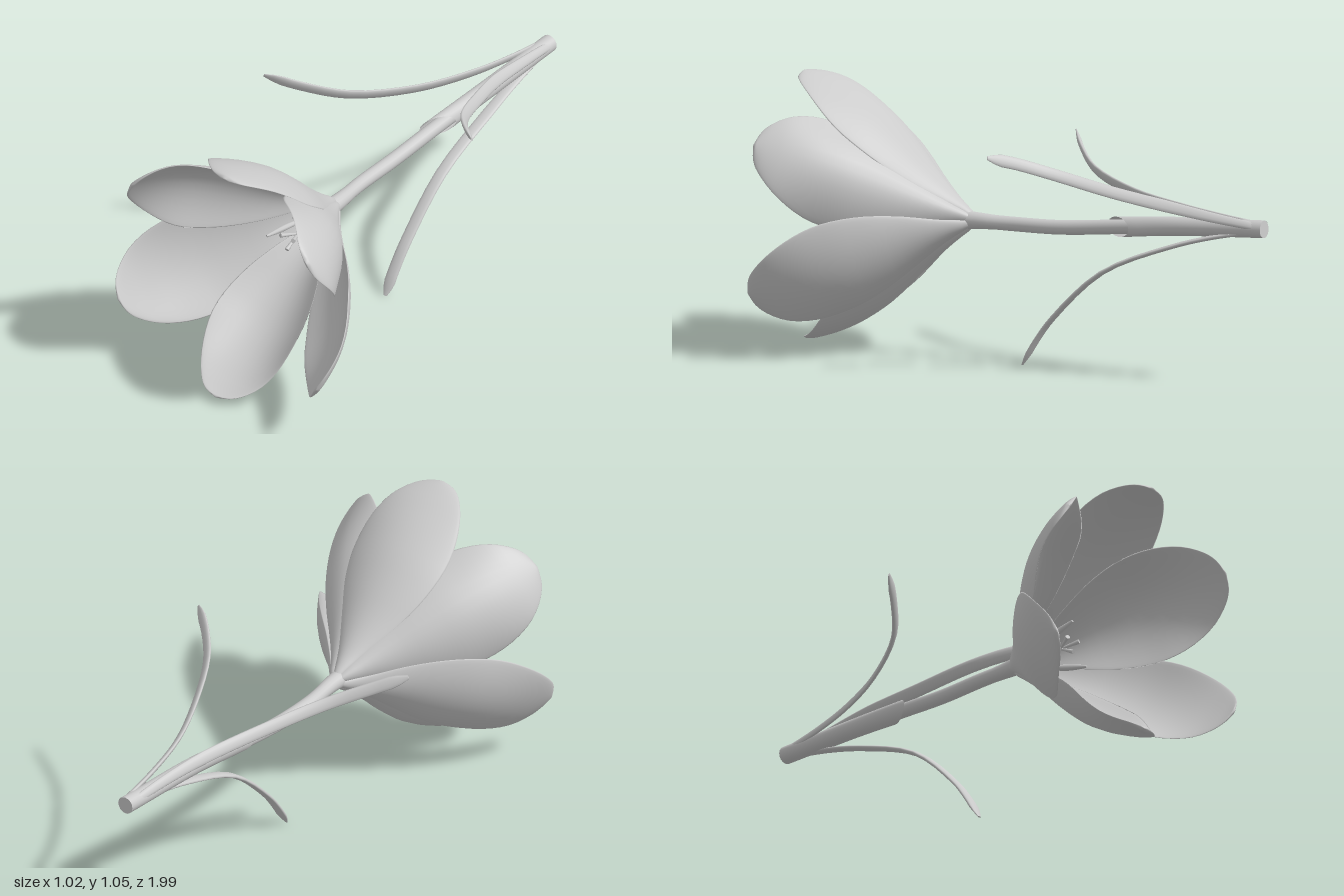
import * as THREE from 'three';

const material = new THREE.MeshStandardMaterial({ color: 0xcccccc, side: THREE.DoubleSide });
const V = (x, y, z) => new THREE.Vector3(x, y, z);
const curve = (pts) => new THREE.CatmullRomCurve3(pts.map((p) => V(...p)));

// Skin a series of closed rings, with flat caps on both ends
function loft(rings) {
  const collapse = (ring) => {
    const c = ring.reduce((sum, p) => sum.add(p), V(0, 0, 0)).divideScalar(ring.length);
    return ring.map(() => c);
  };
  const first = rings[0], last = rings[rings.length - 1];
  const all = [collapse(first), first, ...rings, last, collapse(last)];
  const n = first.length, index = [];
  for (let i = 0; i < all.length - 1; i++) {
    for (let k = 0; k < n; k++) {
      const a = i * n + k, b = i * n + (k + 1) % n;
      index.push(a, b, b + n, a, b + n, a + n);
    }
  }
  const geometry = new THREE.BufferGeometry().setFromPoints(all.flat());
  geometry.setIndex(index);
  geometry.computeVertexNormals();
  return geometry;
}

// Sweep an ellipse along a path; width(t) and depth(t) are half sizes
function sweep(points, side, width, depth, rows = 24, sides = 12) {
  const path = curve(points), rings = [];
  for (let i = 0; i <= rows; i++) {
    const t = i / rows, p = path.getPoint(t), dir = path.getTangent(t);
    const across = V(...side).addScaledVector(dir, -dir.dot(V(...side))).normalize();
    const up = dir.clone().cross(across);
    rings.push(Array.from({ length: sides }, (_, k) => {
      const a = (k / sides) * Math.PI * 2;
      return p.clone().addScaledVector(across, Math.cos(a) * width(t)).addScaledVector(up, Math.sin(a) * depth(t));
    }));
  }
  return loft(rings);
}

// Petal profile: distance from the axis, half width, z
const petalProfile = curve([
  [0.02, 0.012, 0.27], [0.09, 0.055, 0.36], [0.18, 0.12, 0.46], [0.28, 0.178, 0.56], [0.37, 0.207, 0.66],
  [0.437, 0.202, 0.76], [0.485, 0.165, 0.86], [0.51, 0.108, 0.935], [0.518, 0.062, 0.97], [0.52, 0.004, 0.988],
]);

// Thin shell leaning outwards at the given angle, cupped in the middle and flatter at the tip
function petal(degrees, cup, scale, broad) {
  const angle = THREE.MathUtils.degToRad(degrees), rows = 28, sides = 32, rings = [];
  const cos = Math.cos(angle), sin = Math.sin(angle);
  for (let i = 0; i <= rows; i++) {
    const { x: r, y: w, z } = petalProfile.getPoint(i / rows);
    const bend = cup * w * (1 - 0.75 * THREE.MathUtils.smoothstep(z, 0.66, 0.96));
    rings.push(Array.from({ length: sides }, (_, k) => {
      const a = (k / sides) * Math.PI * 2, s = Math.cos(a);
      const out = -Math.sin(a) * Math.min(0.009, w * 0.4) - bend * s * s;
      const radial = (r + out * 0.84) * scale, tangent = w * s * broad;
      return V(0.01 + radial * cos - tangent * sin, 0.53 + radial * sin + tangent * cos, z - out * 0.54);
    }));
  }
  return loft(rings);
}

export function createModel() {
  const group = new THREE.Group();
  const add = (name, geometry) => {
    const mesh = new THREE.Mesh(geometry, material);
    mesh.name = name;
    group.add(mesh);
  };

  // Three outer and three inner petals: angle, scale, breadth
  [[87, 1, 1], [207, 1.04, 1], [330, 1.03, 1]].forEach(([a, s, b], i) => add(`outerPetal${i + 1}`, petal(a, 0.28, s, b)));
  [[35, 0.98, 1], [144, 0.99, 1.03], [268, 0.96, 0.92]].forEach(([a, s, b], i) => add(`innerPetal${i + 1}`, petal(a, 0.52, s, b)));

  // Stem, flaring slightly under the flower
  const stemPath = [[0.057, 0.598, -1], [0.04, 0.577, -0.6], [0.02, 0.553, -0.35], [0.005, 0.53, -0.1],
    [0.0, 0.527, 0.1], [0.01, 0.53, 0.24], [0.01, 0.53, 0.33]];
  const stemRadius = (t) => 0.028 + 0.006 * Math.max(0, 1 - 4 * t) + 0.01 * Math.max(0, t - 0.75) * 4;
  add('stem', sweep(stemPath, [1, 0, 0], stemRadius, stemRadius, 32, 16));

  // Sheath wrapped closely round the stem, cut at a slant
  const sheath = new THREE.CylinderGeometry(0.038, 0.034, 1, 20, 10, true).rotateX(Math.PI / 2);
  const axis = curve(stemPath.slice(0, 4));
  const pos = sheath.attributes.position;
  for (let i = 0; i < pos.count; i++) {
    const x = pos.getX(i), y = pos.getY(i), along = pos.getZ(i) + 0.5;
    const c = axis.getPoint(along * 0.66);
    pos.setXYZ(i, c.x + x, c.y + y, c.z - x * 1.7 * along);
  }
  sheath.computeVertexNormals();
  add('sheath', sheath);

  // Long arching leaves with blunt tips
  const taper = (t) => (0.016 + 0.009 * Math.min(1, t * 3)) * Math.min(1, 0.3 + (1 - t) * 11);
  const thin = (t) => 0.009 * Math.min(1, 0.3 + (1 - t) * 8);
  add('rightLeaf', sweep([[0.04, 0.605, -0.995], [0.02, 0.622, -0.8], [-0.02, 0.64, -0.6], [-0.1, 0.665, -0.37],
    [-0.23, 0.715, -0.13], [-0.36, 0.77, 0], [-0.47, 0.82, 0.085]], [0.48, 0.87, 0], taper, thin));
  add('leftLeaf', sweep([[0.075, 0.605, -0.995], [0.085, 0.63, -0.8], [0.11, 0.665, -0.6], [0.17, 0.71, -0.41],
    [0.26, 0.775, -0.21], [0.35, 0.82, -0.1], [0.44, 0.85, -0.02]], [-0.6, 0.8, 0], taper, thin));
  add('lowerLeaf', sweep([[0.06, 0.59, -0.995], [0.065, 0.555, -0.8], [0.07, 0.5, -0.6], [0.07, 0.38, -0.31],
    [0.068, 0.19, -0.1], [0.066, 0.1, -0.03], [0.065, 0.004, 0.03]], [1, 0, 0], taper, thin));

  // Stamens: slim filaments carrying slightly thicker anthers
  [[0.035, 0.635], [-0.09, 0.5], [0.11, 0.47]].forEach(([x, y], i) => {
    const at = (f, z) => [0.015 + (x - 0.015) * f, 0.53 + (y - 0.53) * f, z];
    const radius = (t) => (t < 0.45 ? 0.005 : 0.005 + 0.007 * Math.sin(((t - 0.45) / 0.55) * Math.PI));
    add(`stamen${i + 1}`, sweep([at(0.1, 0.29), at(0.4, 0.38), at(0.7, 0.46), at(1, 0.56)], [0.3, 0.9, 0], radius, radius, 16, 8));
  });

  // Central style with three short branches
  const styleRadius = () => 0.006;
  add('style', sweep([[0.01, 0.53, 0.28], [0.017, 0.53, 0.42], [0.02, 0.53, 0.52]], [1, 0, 0], styleRadius, styleRadius, 8, 8));
  for (let i = 0; i < 3; i++) {
    const a = -Math.PI / 2 + (i * Math.PI * 2) / 3;
    const flare = (t) => 0.004 + 0.005 * t;
    add(`stigma${i + 1}`, sweep([[0.02, 0.53, 0.51], [0.02 + 0.02 * Math.cos(a), 0.53 + 0.02 * Math.sin(a), 0.55],
      [0.02 + 0.035 * Math.cos(a), 0.53 + 0.035 * Math.sin(a), 0.58]], [-Math.sin(a), Math.cos(a), 0], flare, flare, 8, 8));
  }
  return group;
}
